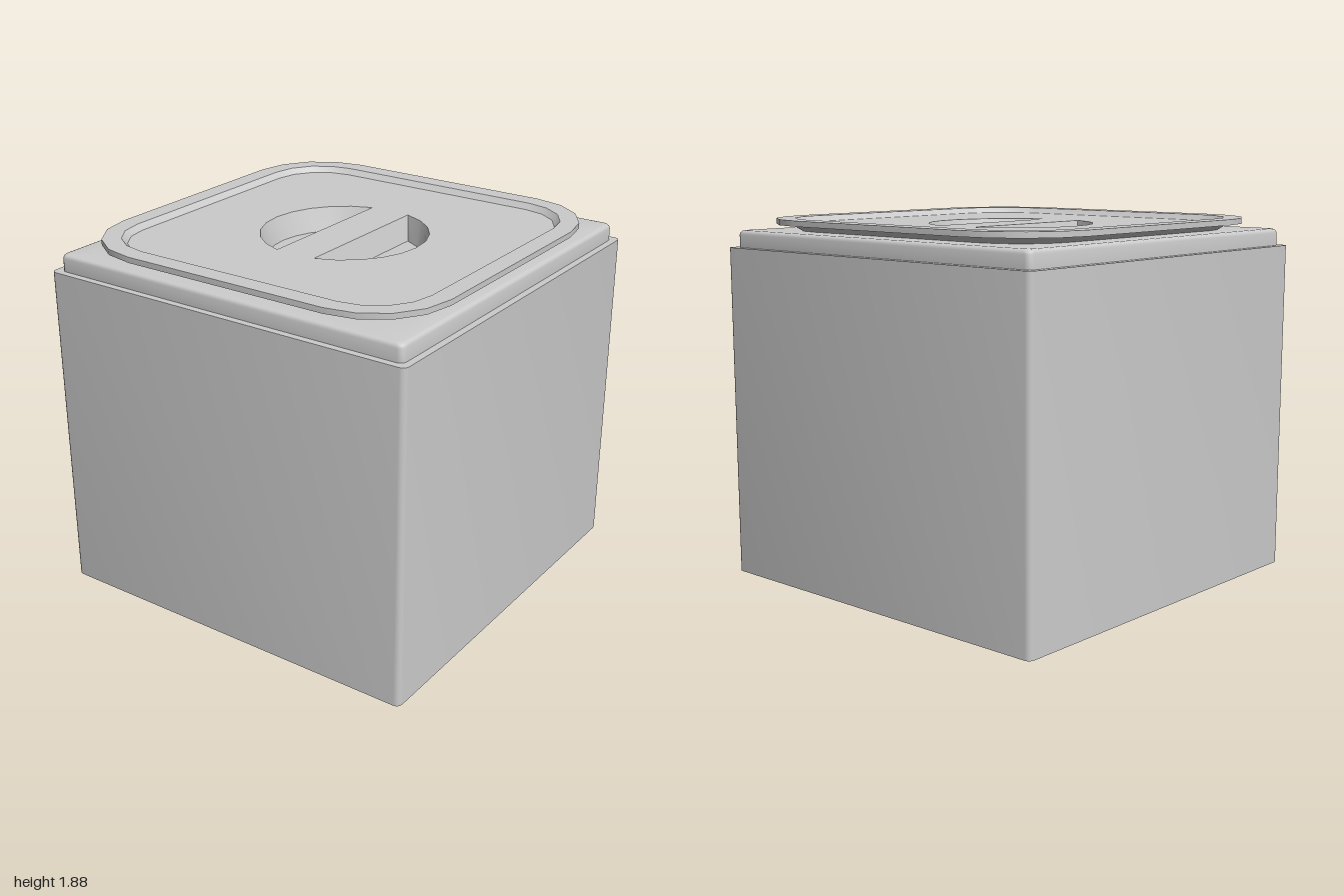
import * as THREE from 'three';
import { toCreasedNormals } from 'three/addons/utils/BufferGeometryUtils.js';

const grey = new THREE.MeshStandardMaterial({ color: 0xcccccc, side: THREE.DoubleSide });

// Closed loop of points around a rounded square at height y
function roundedSquare(half, radius, y, steps = 4) {
  const loop = [];
  const signs = [[1, 1], [-1, 1], [-1, -1], [1, -1]];
  signs.forEach(([sx, sz], corner) => {
    for (let i = 0; i <= steps; i++) {
      const a = (corner + i / steps) * Math.PI / 2;
      loop.push(new THREE.Vector3(
        sx * (half - radius) + radius * Math.cos(a), y,
        sz * (half - radius) + radius * Math.sin(a)));
    }
  });
  return loop;
}

// Circle segment cut off by a straight chord, on the +z side (turn 0) or -z side (turn PI)
function circleSegment(radius, chord, y, turn, steps = 10) {
  const start = Math.asin(chord / radius);
  return Array.from({ length: steps + 1 }, (_, i) => {
    const a = start + (Math.PI - 2 * start) * i / steps + turn;
    return new THREE.Vector3(radius * Math.cos(a), y, radius * Math.sin(a));
  });
}

// Skin between successive loops, with optional flat caps
function loft(loops, capStart, capEnd) {
  const pos = [];
  const tri = (...corners) => corners.forEach(p => pos.push(p.x, p.y, p.z));
  const n = loops[0].length;
  for (let i = 0; i < loops.length - 1; i++) {
    for (let j = 0; j < n; j++) {
      const k = (j + 1) % n;
      const a = loops[i][j], b = loops[i][k], c = loops[i + 1][k], d = loops[i + 1][j];
      tri(a, d, c);
      tri(a, c, b);
    }
  }
  const cap = (loop, up) => {
    const mid = loop.reduce((s, p) => s.add(p), new THREE.Vector3()).divideScalar(n);
    for (let j = 0; j < n; j++) {
      const p = loop[j], q = loop[(j + 1) % n];
      if (up) tri(mid, q, p); else tri(mid, p, q);
    }
  };
  if (capStart) cap(loops[0], false);
  if (capEnd) cap(loops[loops.length - 1], true);
  const geo = new THREE.BufferGeometry();
  geo.setAttribute('position', new THREE.Float32BufferAttribute(pos, 3));
  return toCreasedNormals(geo, 0.6);
}

function add(parent, name, geometry) {
  const mesh = new THREE.Mesh(geometry, grey);
  mesh.name = name;
  parent.add(mesh);
  return mesh;
}

const squares = rows => rows.map(([half, radius, y]) => roundedSquare(half, radius, y));

export function createModel() {
  const model = new THREE.Group();
  model.name = 'lidded container';

  // Outer housing
  add(model, 'housing', loft(squares([[1, 0.03, 0.07], [1, 0.03, 1.74]]), true, true));

  // Raised collar with a rounded top edge, open in the middle for the lid
  add(model, 'collar', loft(squares([
    [0.965, 0.03, 1.74], [0.965, 0.03, 1.803], [0.962, 0.03, 1.814],
    [0.954, 0.03, 1.822], [0.943, 0.03, 1.825], [0.8, 0.25, 1.825], [0.8, 0.25, 1.74],
  ])));

  // Tapered feet
  for (const x of [-0.785, 0.785]) {
    for (const z of [-0.785, 0.785]) {
      const foot = add(model, 'foot',
        toCreasedNormals(new THREE.CylinderGeometry(0.095, 0.065, 0.07, 16), 0.6));
      foot.position.set(x, 0.035, z);
    }
  }

  const lid = new THREE.Group();
  lid.name = 'lid';
  model.add(lid);

  // Flange and the pressed step down to the panel
  const panelY = 1.857;
  add(lid, 'lidRim', loft(squares([
    [0.82, 0.27, 1.825], [0.865, 0.3, 1.857], [0.94, 0.39, 1.857],
    [0.94, 0.39, 1.885], [0.845, 0.29, 1.885], [0.82, 0.27, panelY],
  ])));

  // Panel with two finger pockets, leaving the grip bar between them
  const flat = loop => loop.map(p => new THREE.Vector2(p.x, p.z));
  const panel = new THREE.Shape(flat(roundedSquare(0.82, 0.27, 0)));
  for (const turn of [0, Math.PI]) {
    const rim = circleSegment(0.413, 0.108, panelY, turn);
    const floor = circleSegment(0.375, 0.145, panelY - 0.125, turn);
    panel.holes.push(new THREE.Path(flat(rim)));
    add(lid, 'fingerPocket', loft([rim, floor], false, true));
  }
  add(lid, 'lidPanel',
    new THREE.ShapeGeometry(panel).rotateX(-Math.PI / 2).translate(0, panelY, 0));

  return model;
}
